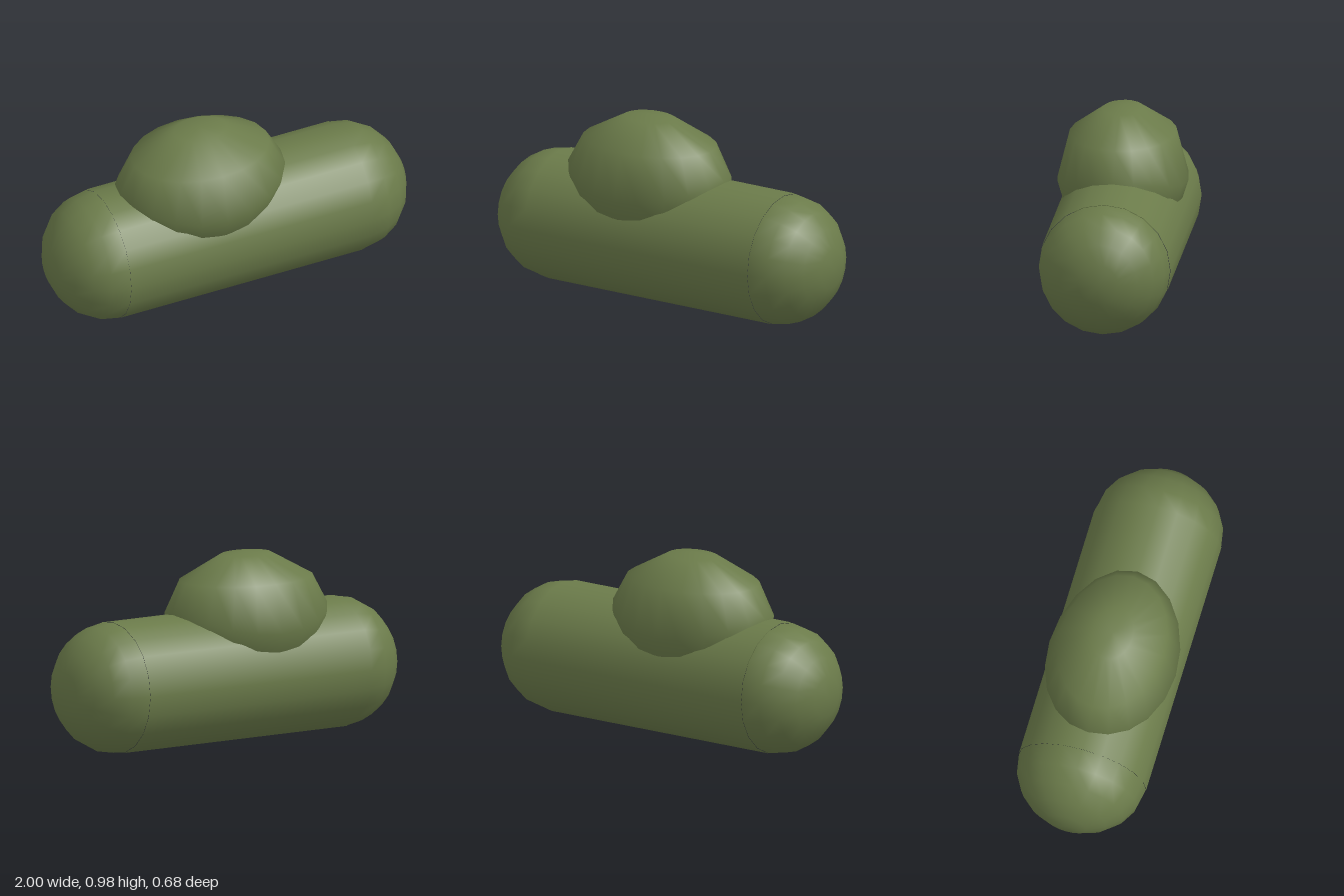
import * as THREE from 'three';

const SIDES = 20;
const BODY_RADIUS = 0.342;
const BODY_HALF = 0.69;

const olive = new THREE.MeshStandardMaterial({ color: 0x6b7b4a });
olive.name = 'olive green';

// Lathe a [radius, height] profile listed from bottom to top
function lathe(profile) {
  return new THREE.LatheGeometry(profile.map(([r, y]) => new THREE.Vector2(r, y)), SIDES);
}

// Smooth ellipsoid normals for a shape centred on the origin
function ellipsoidNormals(geometry, rx, ry, rz) {
  const p = geometry.attributes.position;
  const n = new THREE.Vector3();
  for (let i = 0; i < p.count; i++) {
    n.set(p.getX(i) / rx ** 2, p.getY(i) / ry ** 2, p.getZ(i) / rz ** 2).normalize();
    geometry.attributes.normal.setXYZ(i, n.x, n.y, n.z);
  }
}

function addPart(group, name, geometry, x, y) {
  const mesh = new THREE.Mesh(geometry, olive);
  mesh.name = name;
  mesh.position.set(x, y, 0);
  group.add(mesh);
}

export function createModel() {
  const group = new THREE.Group();
  group.name = 'roundedHullWithDome';

  // Long horizontal body
  const body = new THREE.CylinderGeometry(BODY_RADIUS, BODY_RADIUS, BODY_HALF * 2, SIDES, 1, true);
  body.rotateZ(-Math.PI / 2);
  addPart(group, 'body', body, 0, BODY_RADIUS);

  // Rounded end caps
  for (const [name, side] of [['leftEndCap', 1], ['rightEndCap', -1]]) {
    const cap = lathe([[0.34, 0], [0.322, 0.1], [0.275, 0.184], [0.2, 0.252], [0.105, 0.298], [0, 0.31]]);
    ellipsoidNormals(cap, 0.34, 0.313, 0.34);
    cap.rotateZ(-side * Math.PI / 2);
    addPart(group, name, cap, side * BODY_HALF, BODY_RADIUS);
  }

  // Oval dome; its widest ring dips along the long sides to follow the body
  const dome = lathe([[0, -0.342], [0.2, -0.276], [0.308, -0.145], [0.338, 0], [0.275, 0.201], [0.105, 0.326], [0, 0.342]]);
  const p = dome.attributes.position;
  for (let i = 0; i < p.count; i++) {
    if (Math.abs(p.getY(i)) < 0.001) {
      const c = (p.getX(i) / 0.338) ** 2;
      p.setY(i, 0.055 * c - 0.05 * (1 - c));
    }
  }
  dome.scale(0.46 / 0.34, 1, 1);
  ellipsoidNormals(dome, 0.46, 0.342, 0.34);
  addPart(group, 'dome', dome, -0.136, 0.635);

  return group;
}
